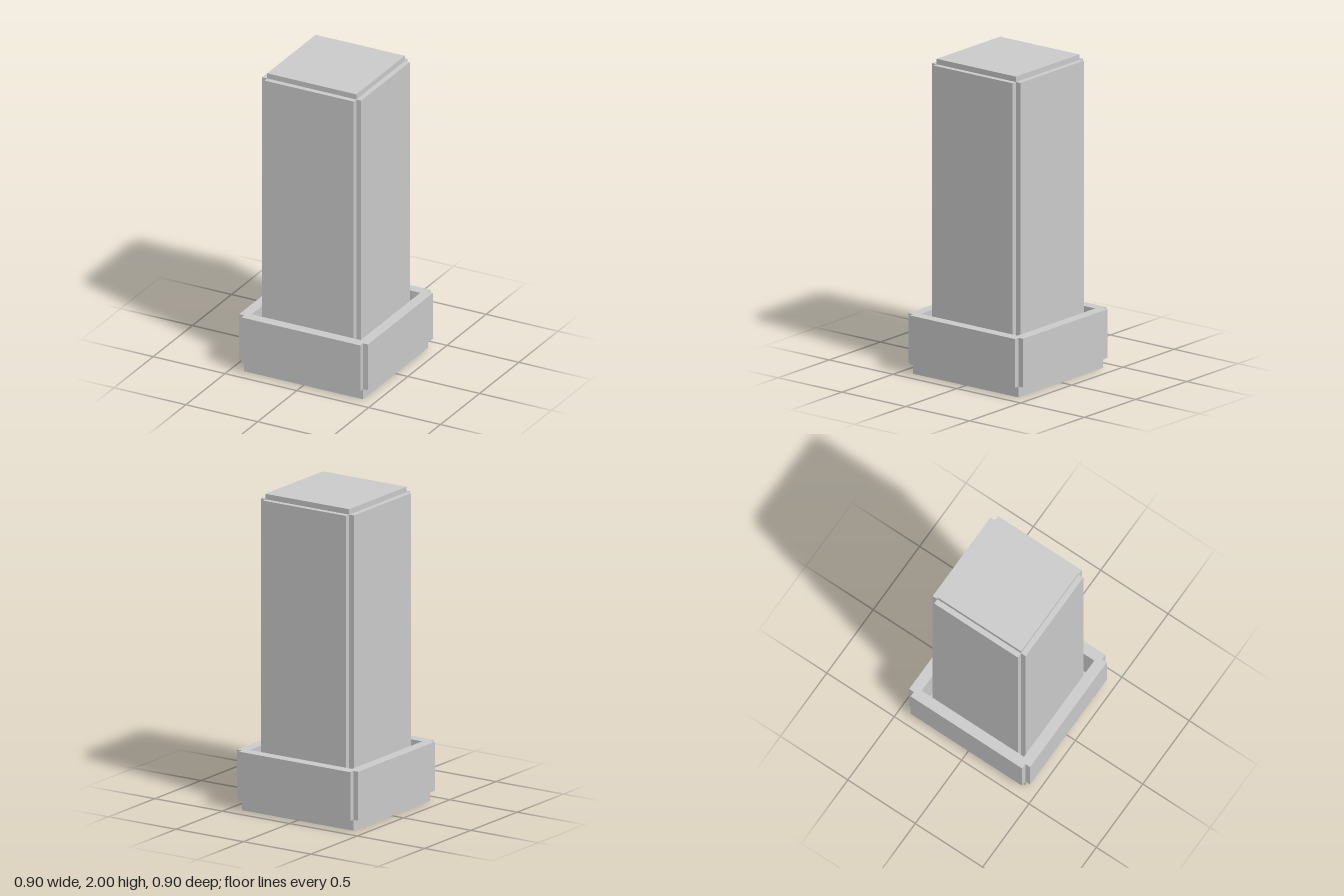
import * as THREE from 'three';

const U = 2 / 58; // grid step shared by every part

// Square outline of half-width h whose corners are notched by one step
function notchedSquare(h) {
  const i = h - U;
  return new THREE.Shape([
    [i, -h], [i, -i], [h, -i], [h, i], [i, i], [i, h],
    [-i, h], [-i, i], [-h, i], [-h, -i], [-i, -i], [-i, -h],
  ].map(([x, y]) => new THREE.Vector2(x, y)));
}

function square(h) {
  return new THREE.Shape([[-h, -h], [h, -h], [h, h], [-h, h]]
    .map(([x, y]) => new THREE.Vector2(x, y)));
}

export function createModel() {
  const group = new THREE.Group();
  const material = new THREE.MeshStandardMaterial({ color: 0xcccccc, flatShading: true });

  // Extrude a plan outline upwards from y0 to y1
  function addPrism(name, shape, y0, y1) {
    const geometry = new THREE.ExtrudeGeometry(shape, { depth: y1 - y0, bevelEnabled: false });
    geometry.rotateX(-Math.PI / 2);
    geometry.translate(0, y0, 0);
    const mesh = new THREE.Mesh(geometry, material);
    mesh.name = name;
    group.add(mesh);
  }

  // Foot slab, which also closes the bottom of the trough
  addPrism('foot', square(12 * U), 0, 2 * U);

  // Raised collar with an open trough around the column
  const collar = notchedSquare(13 * U);
  collar.holes.push(square(11 * U));
  addPrism('collar', collar, 2 * U, 11 * U);

  // Column with recessed corners and a stepped cap
  addPrism('column', notchedSquare(10 * U), 2 * U, 57 * U);
  addPrism('cap', square(9 * U), 57 * U, 58 * U);

  return group;
}
